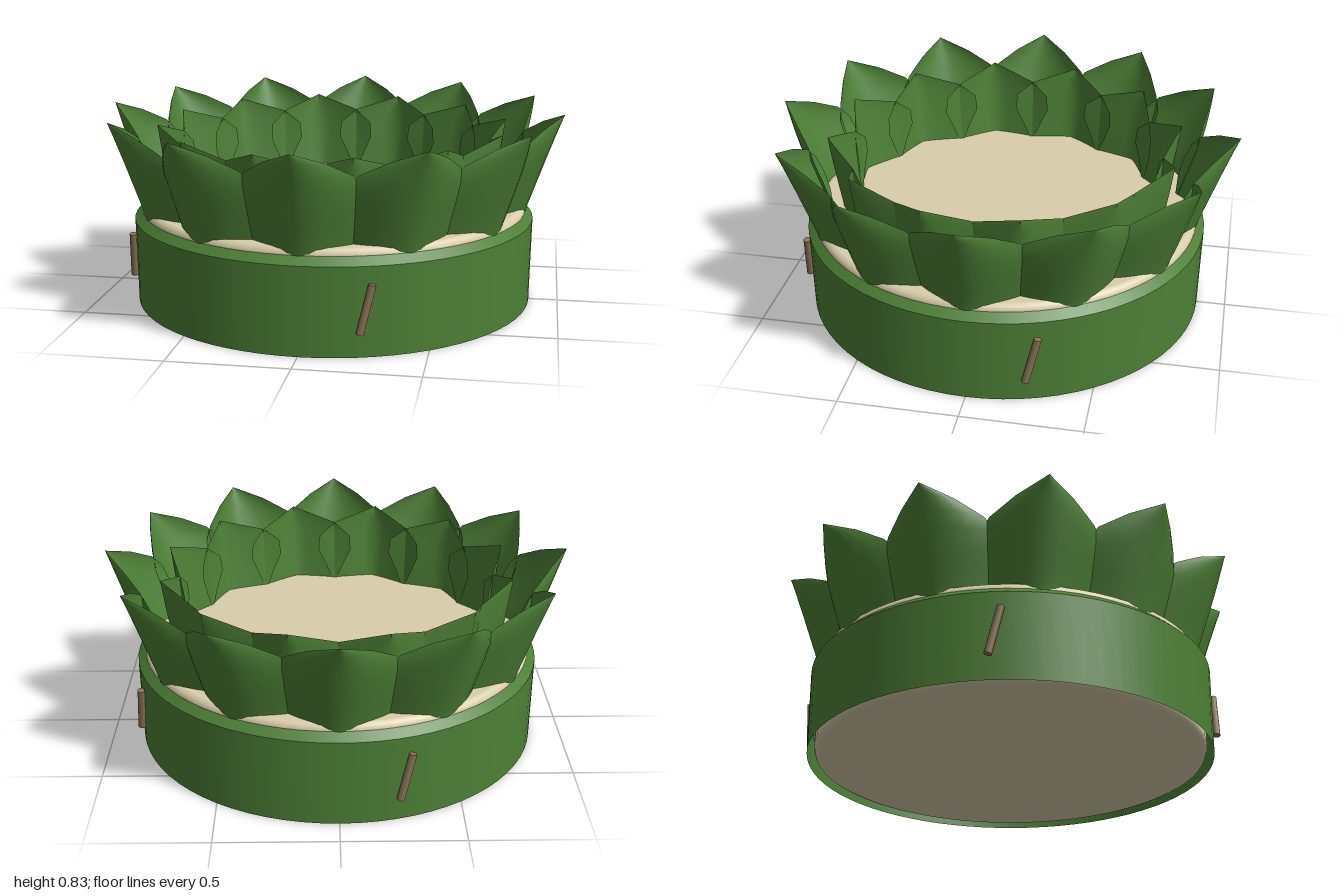
import * as THREE from 'three';

const leafGreen = new THREE.MeshStandardMaterial({ name: 'leafGreen', color: 0x4d8036, side: THREE.DoubleSide });
const trunkBeige = new THREE.MeshStandardMaterial({ name: 'trunkBeige', color: 0xd9ceab });
const pinBrown = new THREE.MeshStandardMaterial({ name: 'pinBrown', color: 0x8a7256 });

// Cupped petal from rows of [height, centre radius, half width, cup depth];
// a bend near 1 gives a sharp fold, 2 a round cup
function petalGeometry(rows, bend, cols = 10) {
  const geo = new THREE.PlaneGeometry(1, 1, cols, rows.length - 1);
  const pos = geo.attributes.position;
  rows.slice().reverse().forEach(([y, radius, half, depth], r) => {
    for (let c = 0; c <= cols; c++) {
      const u = (c / cols) * 2 - 1;
      pos.setXYZ(r * (cols + 1) + c, u * half, y, radius - depth * Math.abs(u) ** bend);
    }
  });
  geo.computeVertexNormals();
  return geo;
}

// Ring of equal petals around the vertical axis
function petalRing(name, geo, count, offset) {
  const ring = new THREE.Group();
  ring.name = name + 'Petals';
  for (let i = 0; i < count; i++) {
    const petal = new THREE.Mesh(geo, leafGreen);
    petal.name = name + 'Petal';
    petal.rotation.y = offset + (i / count) * Math.PI * 2;
    ring.add(petal);
  }
  return ring;
}

// Solid or band of revolution
function lathe(name, points, material) {
  const mesh = new THREE.Mesh(
    new THREE.LatheGeometry(points.map(([x, y]) => new THREE.Vector2(x, y)), 72), material);
  mesh.name = name;
  return mesh;
}

export function createModel() {
  const model = new THREE.Group();
  model.name = 'leafFloat';

  // Trunk slice with softened rims; doubled points keep the flat faces flat
  model.add(lathe('trunkSlice', [
    [0, 0.01], [0.82, 0.01], [0.822, 0.01], [0.838, 0.016], [0.845, 0.032], [0.845, 0.036],
    [0.845, 0.403], [0.845, 0.408], [0.838, 0.424], [0.822, 0.43], [0.82, 0.43], [0, 0.43],
  ], trunkBeige));

  // Leaf wrap round the trunk, with a sloping upper lip
  model.add(lathe('leafBand', [[0.874, 0], [0.879, 0.37]], leafGreen));
  model.add(lathe('leafBandLip', [[0.879, 0.37], [0.845, 0.402]], leafGreen));

  // Folded leaf petals: outer ring leaning out, inner ring set between them
  const outer = petalGeometry([
    [0.38, 0.842, 0.18, 0.09], [0.43, 0.855, 0.212, 0.118], [0.5, 0.88, 0.24, 0.14],
    [0.58, 0.908, 0.255, 0.15], [0.66, 0.936, 0.252, 0.145], [0.72, 0.958, 0.212, 0.128],
    [0.78, 0.98, 0.118, 0.07], [0.83, 1.0, 0, 0],
  ], 1.7);
  const inner = petalGeometry([
    [0.41, 0.715, 0.175, 0.075], [0.5, 0.73, 0.212, 0.1], [0.58, 0.743, 0.245, 0.13],
    [0.65, 0.754, 0.24, 0.135], [0.71, 0.762, 0.175, 0.1], [0.77, 0.77, 0, 0],
  ], 1.15);
  model.add(petalRing('outer', outer, 12, 0));
  model.add(petalRing('inner', inner, 12, Math.PI / 12));

  // Slanted pins holding the wrap
  const pinGeo = new THREE.CylinderGeometry(0.016, 0.016, 0.205, 12);
  for (let i = 0; i < 4; i++) {
    const holder = new THREE.Group();
    holder.name = 'pinHolder';
    holder.rotation.y = 0.302 + (i * Math.PI) / 2;
    const pin = new THREE.Mesh(pinGeo, pinBrown);
    pin.name = 'pin';
    pin.position.set(0, 0.2, 0.89);
    pin.rotation.z = -0.24;
    holder.add(pin);
    model.add(holder);
  }
  return model;
}
